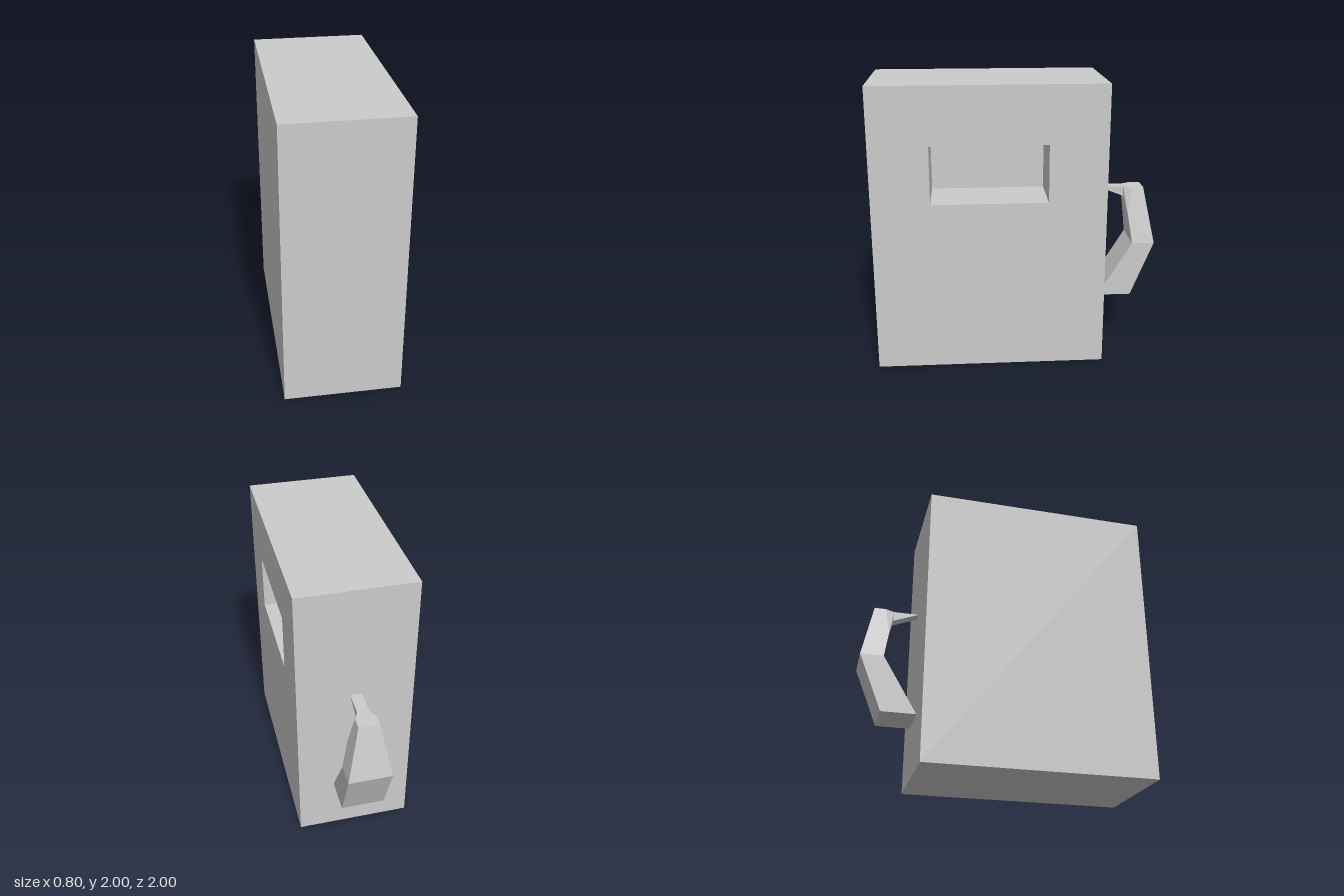
import * as THREE from 'three';

const material = new THREE.MeshStandardMaterial({ color: 0xcccccc, flatShading: true, side: THREE.DoubleSide });

function add(group, name, geometry) {
  const mesh = new THREE.Mesh(geometry, material);
  mesh.name = name;
  group.add(mesh);
  return mesh;
}

// Rectangle outline from its two corners
function rectangle(Type, x0, y0, x1, y1) {
  const path = new Type();
  path.moveTo(x0, y0).lineTo(x1, y0).lineTo(x1, y1).lineTo(x0, y1).closePath();
  return path;
}

// Outline of the handle as [half width, y, z], mirrored across x
function handleGeometry() {
  const outline = [
    [0.04, 1.2, -0.6], [0.04, 1.2, -0.78], [0.07, 1.2, -0.84], [0.07, 1.2, -0.92],
    [0.15, 0.8, -1], [0.15, 0.4, -0.84], [0.15, 0.4, -0.6], [0.15, 0.8, -0.84],
    [0.11, 1, -0.81], [0.04, 1.13, -0.78],
  ];
  const sideTriangles = [
    [0, 1, 9], [1, 8, 9], [1, 2, 8], [2, 3, 4], [2, 4, 8],
    [4, 7, 8], [4, 5, 6], [4, 6, 7],
  ];
  const left = ([x, y, z]) => [x, y, z];
  const right = ([x, y, z]) => [-x, y, z];
  const positions = [];
  const triangle = (...corners) => corners.forEach((c) => positions.push(...c));

  // Strip running round the outline
  outline.forEach((a, i) => {
    const b = outline[(i + 1) % outline.length];
    triangle(left(a), left(b), right(b));
    triangle(left(a), right(b), right(a));
  });
  // Both flanks
  for (const [a, b, c] of sideTriangles) {
    triangle(left(outline[a]), left(outline[c]), left(outline[b]));
    triangle(right(outline[a]), right(outline[b]), right(outline[c]));
  }
  const geometry = new THREE.BufferGeometry();
  geometry.setAttribute('position', new THREE.Float32BufferAttribute(positions, 3));
  geometry.computeVertexNormals();
  return geometry;
}

export function createModel() {
  const group = new THREE.Group();
  group.name = 'model';

  // Solid half of the body, which also closes the back of the recess
  const solid = add(group, 'bodySolidHalf', new THREE.BoxGeometry(0.4, 2, 1.6));
  solid.position.set(-0.2, 1, 0.2);

  // Half of the body with the rectangular recess
  const face = rectangle(THREE.Shape, -1, 0, 0.6, 2);
  face.holes.push(rectangle(THREE.Path, -0.6, 1.2, 0.2, 1.6));
  const recessed = new THREE.ExtrudeGeometry(face, { depth: 0.4, bevelEnabled: false });
  add(group, 'bodyRecessedHalf', recessed.rotateY(Math.PI / 2));

  // Bent handle joined to the back by a thin wedge and its lower edge
  add(group, 'handle', handleGeometry());

  return group;
}
